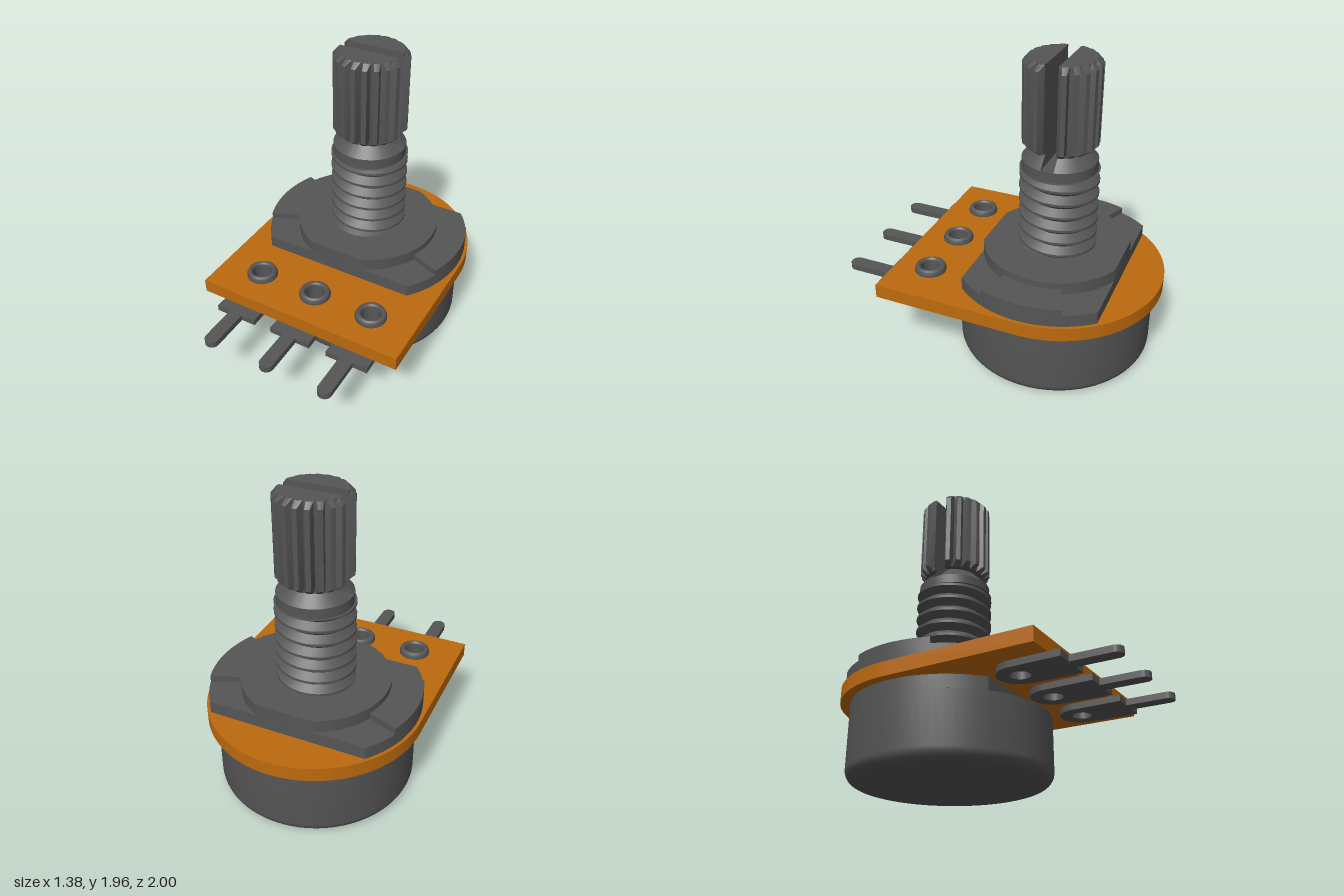
import * as THREE from 'three';
import { toCreasedNormals } from 'three/addons/utils/BufferGeometryUtils.js';

const PI = Math.PI;
const AXIS_Z = -0.31; // z of the shaft axis

const metal = new THREE.MeshStandardMaterial({ color: 0x555555 });
metal.name = 'dark metal';
const orange = new THREE.MeshStandardMaterial({ color: 0xbd6a0e });
orange.name = 'orange board';

function mesh(name, geometry, material, x = 0, z = AXIS_Z) {
  const m = new THREE.Mesh(toCreasedNormals(geometry, 0.5), material);
  m.name = name;
  m.position.set(x, 0, z);
  return m;
}

// Horizontal slab: shape x,y become x,z; spans bottom..top in height
function slab(shape, bottom, top) {
  return new THREE.ExtrudeGeometry(shape, { depth: top - bottom, bevelEnabled: false, curveSegments: 40 })
    .rotateX(PI / 2).translate(0, top, 0);
}

const lathe = (pts, n = 64) => new THREE.LatheGeometry(pts.map(p => new THREE.Vector2(...p)), n);

function holePath(x, z, r) {
  return new THREE.Path().absarc(x, z, r, 0, PI * 2, true);
}

// Disc with its front and back cut off by parallel chords
function twoFlats(r, h) {
  const a = Math.asin(h / r);
  const s = new THREE.Shape();
  s.absarc(0, 0, r, -a, a, false);
  s.absarc(0, 0, r, PI - a, PI + a, false);
  s.closePath();
  return s;
}

// Skin between stacked rings of points, optionally closed and capped
function loft(rings, closed) {
  const n = rings[0].length, index = [], pos = rings.flat(2);
  for (let j = 0; j < rings.length - 1; j++) {
    for (let i = 0; i < (closed ? n : n - 1); i++) {
      const k = (i + 1) % n;
      const a = j * n + i, b = j * n + k, c = a + n, d = b + n;
      index.push(a, c, b, b, c, d);
    }
  }
  if (closed) {
    [0, rings.length - 1].forEach(j => {
      const c = pos.length / 3;
      pos.push(0, rings[j][0][1], 0.1);
      for (let i = 0; i < n; i++) {
        const a = j * n + i, b = j * n + (i + 1) % n;
        if (j) index.push(c, b, a); else index.push(c, a, b);
      }
    });
  }
  const g = new THREE.BufferGeometry();
  g.setAttribute('position', new THREE.Float32BufferAttribute(pos, 3));
  g.setIndex(index);
  return g;
}

// Half of the splined shaft, flat on the slot side
function shaftHalf() {
  const teeth = 9, gap = 0.04;
  const ring = (y, root, crest) => {
    const a0 = Math.asin(gap / root), pts = [];
    const add = (t, r) => {
      const a = a0 + (PI - 2 * a0) * t / teeth;
      pts.push([r * Math.cos(a), y, r * Math.sin(a)]);
    };
    for (let k = 0; k < teeth; k++) {
      add(k, root);
      add(k + 0.3, crest);
      add(k + 0.7, crest);
    }
    add(teeth, root);
    return pts;
  };
  return loft([
    ring(1.33, 0.233, 0.233), ring(1.41, 0.155, 0.155), // cone
    ring(1.41, 0.192, 0.2), ring(1.44, 0.195, 0.234),   // tooth run-in
    ring(1.925, 0.195, 0.234), ring(1.96, 0.195, 0.202) // tooth tops
  ], true);
}

// Helical ridge wound round the bushing
function threadGeometry() {
  const pitch = 0.088, turns = 8, seg = 40;
  const profile = [[0.2, 0], [0.247, 0.036], [0.247, 0.052], [0.2, pitch]];
  return loft(profile.map(([r, dy]) => {
    const line = [];
    for (let i = 0; i <= turns * seg; i++) {
      const a = i / seg * PI * 2;
      const y = 0.73 - pitch + pitch * i / seg + dy;
      line.push([r * Math.cos(a), Math.min(1.265, Math.max(0.725, y)), r * Math.sin(a)]);
    }
    return line;
  }), false);
}

export function createModel() {
  const model = new THREE.Group();
  model.name = 'potentiometer';
  const pinX = [-0.4, 0, 0.4], pinZ = 0.4;

  // Can with rounded lower edge
  const can = [[0, 0], [0.56, 0]];
  for (let i = 1; i <= 8; i++) {
    const a = i / 8 * PI / 2;
    can.push([0.56 + 0.07 * Math.sin(a), 0.07 - 0.07 * Math.cos(a)]);
  }
  can.push([0.63, 0.4], [0, 0.4]);
  model.add(mesh('can', lathe(can, 72), metal));

  // Can rim, cut away in front for the terminals
  const cut = Math.asin(0.5 / 0.63);
  const rim = new THREE.Shape();
  rim.absarc(0, 0, 0.63, PI - cut, PI * 2 + cut, false);
  rim.closePath();
  model.add(mesh('canRim', slab(rim, 0.4, 0.48), metal));

  // Board with round back and three holes
  const board = new THREE.Shape();
  board.moveTo(0.69, AXIS_Z);
  board.lineTo(0.69, 0.635);
  board.lineTo(-0.69, 0.635);
  board.lineTo(-0.69, AXIS_Z);
  board.absarc(0, AXIS_Z, 0.69, PI, PI * 2, false);
  pinX.forEach(x => board.holes.push(holePath(x, pinZ, 0.065)));
  model.add(mesh('board', slab(board, 0.48, 0.57), orange, 0, 0));

  // Mounting plate, raised centre and two side lugs
  model.add(mesh('mountingPlate', slab(twoFlats(0.67, 0.435), 0.57, 0.65), metal));
  model.add(mesh('raisedCentre', slab(twoFlats(0.47, 0.435), 0.65, 0.73), metal));
  for (const turn of [0, PI]) {
    const a = PI / 8, lug = new THREE.Shape();
    lug.absarc(0, 0, 0.67, turn - a, turn + a, false);
    lug.absarc(0, 0, 0.46, turn + a, turn - a, true);
    lug.closePath();
    model.add(mesh('sideLug', slab(lug, 0.65, 0.69), metal));
  }

  // Threaded bushing and collar
  model.add(mesh('thread', threadGeometry(), metal));
  model.add(mesh('collar', lathe([[0, 1.255], [0.233, 1.255], [0.233, 1.33], [0, 1.33]]), metal));

  // Slotted splined shaft
  for (const turn of [0, PI]) {
    const half = mesh('shaftHalf', shaftHalf(), metal);
    half.rotation.y = turn;
    model.add(half);
  }

  // Terminals and the eyelets holding them
  for (const x of pinX) {
    const pin = new THREE.Shape();
    pin.absarc(0, 0, 0.135, PI, PI * 2, false);
    pin.lineTo(0.14, 0.31);
    pin.lineTo(0.045, 0.31);
    pin.absarc(0, 0.555, 0.045, 0, PI, false);
    pin.lineTo(-0.045, 0.31);
    pin.lineTo(-0.14, 0.31);
    pin.closePath();
    pin.holes.push(holePath(0, 0, 0.062));
    model.add(mesh('terminal', slab(pin, 0.44, 0.48), metal, x, pinZ));

    const eyelet = [[0.1, 0.57], [0.1, 0.585], [0.093, 0.602], [0.08, 0.61],
      [0.07, 0.608], [0.062, 0.597], [0.06, 0.58], [0.06, 0.44], [0.064, 0.44]];
    model.add(mesh('eyelet', lathe(eyelet, 32), metal, x, pinZ));
  }
  return model;
}
